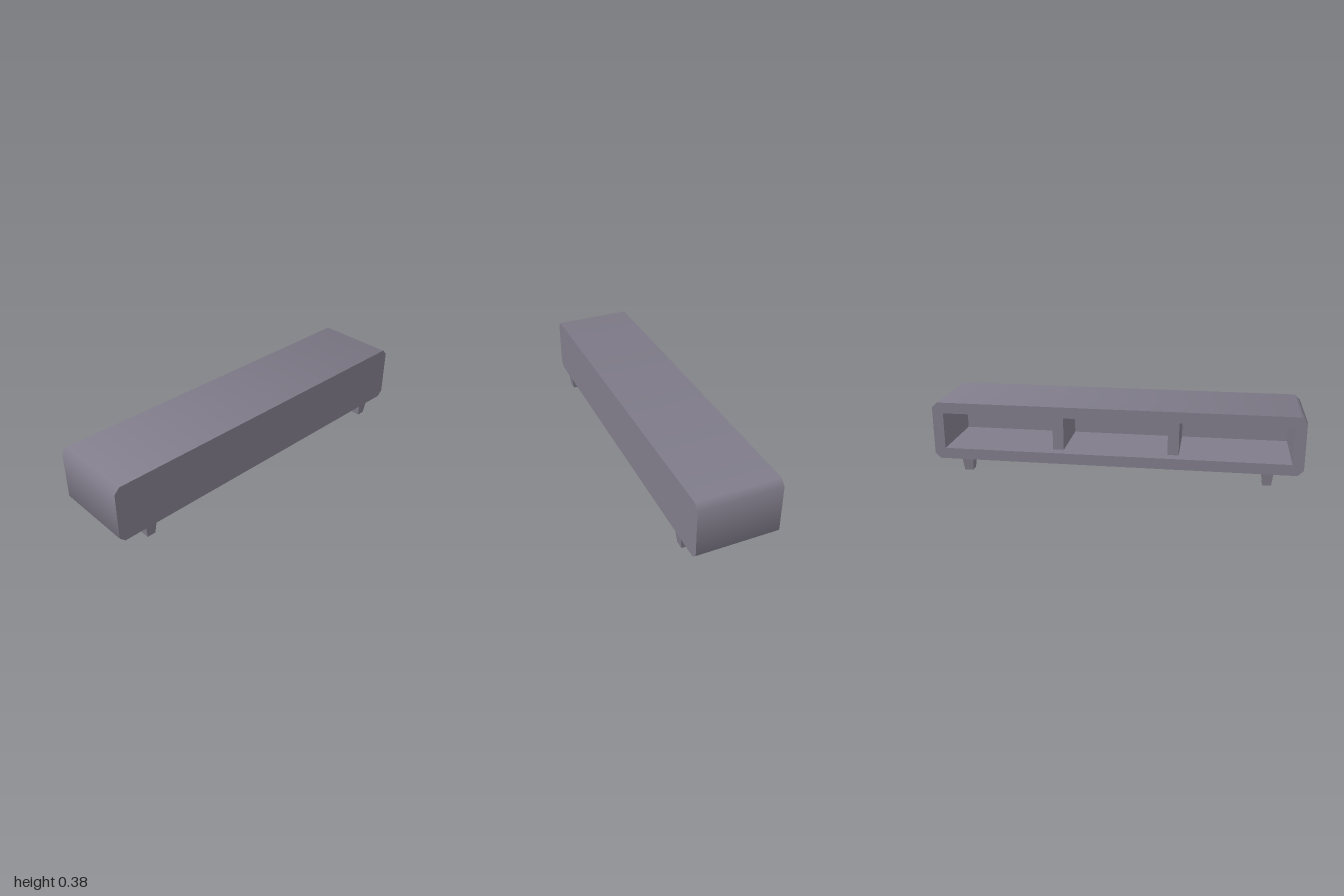
import * as THREE from 'three';

const W = 0.22, L = 1, Y0 = 0.065, Y1 = 0.385; // half depth, half length, underside, top
const BEVEL = 0.03, WALL = 0.06;

// Octagonal cabinet outline in (z, y), counter-clockwise
function outline() {
  const z = L - BEVEL, lo = Y0 + BEVEL, hi = Y1 - BEVEL;
  return [[L, hi], [z, Y1], [-z, Y1], [-L, hi], [-L, lo], [-z, Y0], [z, Y0], [L, lo]];
}

// Outer skin wrapped round the outline, with soft shading across the bevels
function skinGeometry() {
  const pos = [], nor = [], idx = [], pts = outline(), n = pts.length;
  pts.forEach(([z, y], i) => {
    const a = (i + 0.5) * Math.PI / 4;
    for (const x of [-W, W]) {
      pos.push(x, y, z);
      nor.push(0, Math.sin(a), Math.cos(a));
    }
    const a0 = i * 2, b0 = a0 + 1, a1 = ((i + 1) % n) * 2, b1 = a1 + 1;
    idx.push(a0, b1, a1, a0, b0, b1);
  });
  const g = new THREE.BufferGeometry();
  g.setAttribute('position', new THREE.Float32BufferAttribute(pos, 3));
  g.setAttribute('normal', new THREE.Float32BufferAttribute(nor, 3));
  g.setIndex(idx);
  return g;
}

// Flat long side, optionally with the shelf opening cut out
function sideGeometry(open) {
  const shape = new THREE.Shape(outline().map(p => new THREE.Vector2(...p)));
  if (open) {
    const z = L - WALL, lo = Y0 + WALL, hi = Y1 - WALL;
    shape.holes.push(new THREE.Path([[-z, lo], [-z, hi], [z, hi], [z, lo]].map(p => new THREE.Vector2(...p))));
  }
  const s = open ? -1 : 1;
  return new THREE.ShapeGeometry(shape).rotateY(s * Math.PI / 2).translate(s * W, 0, 0);
}

// Inward-facing box without its -x face
function cavityGeometry() {
  const g = new THREE.BoxGeometry(2 * W - WALL, Y1 - Y0 - 2 * WALL, 2 * (L - WALL));
  const idx = [...g.index.array].filter((_, i) => i < 6 || i >= 12).reverse();
  g.clearGroups();
  g.setIndex(idx);
  g.computeVertexNormals();
  return g.translate(-WALL / 2, (Y0 + Y1) / 2, 0);
}

// Square foot tapering towards the floor
function footGeometry() {
  const g = new THREE.BoxGeometry(0.062, Y0, 0.062);
  const p = g.attributes.position;
  for (let i = 0; i < p.count; i++) {
    if (p.getY(i) < 0) p.setXYZ(i, p.getX(i) * 0.75, p.getY(i), p.getZ(i) * 0.75);
  }
  g.computeVertexNormals();
  return g.translate(0, Y0 / 2, 0);
}

export function createModel() {
  const model = new THREE.Group();
  model.name = 'lowCabinet';
  const grey = new THREE.MeshStandardMaterial({ color: 0x807c8a });
  grey.name = 'warm grey';

  const add = (name, geometry, x = 0, y = 0, z = 0) => {
    const mesh = new THREE.Mesh(geometry, grey);
    mesh.name = name;
    mesh.position.set(x, y, z);
    model.add(mesh);
  };

  add('cabinetShell', skinGeometry());
  add('closedSide', sideGeometry(false));
  add('openingFrame', sideGeometry(true));
  add('shelfInterior', cavityGeometry());

  // Two recessed dividers make three compartments
  for (const z of [-0.315, 0.315]) {
    add('divider', new THREE.BoxGeometry(2 * (W - WALL), Y1 - Y0 - 2 * WALL, WALL), 0, (Y0 + Y1) / 2, z);
  }

  // Four feet
  const foot = footGeometry();
  for (const x of [-0.189, 0.189]) for (const z of [-0.815, 0.815]) add('foot', foot, x, 0, z);

  return model;
}
